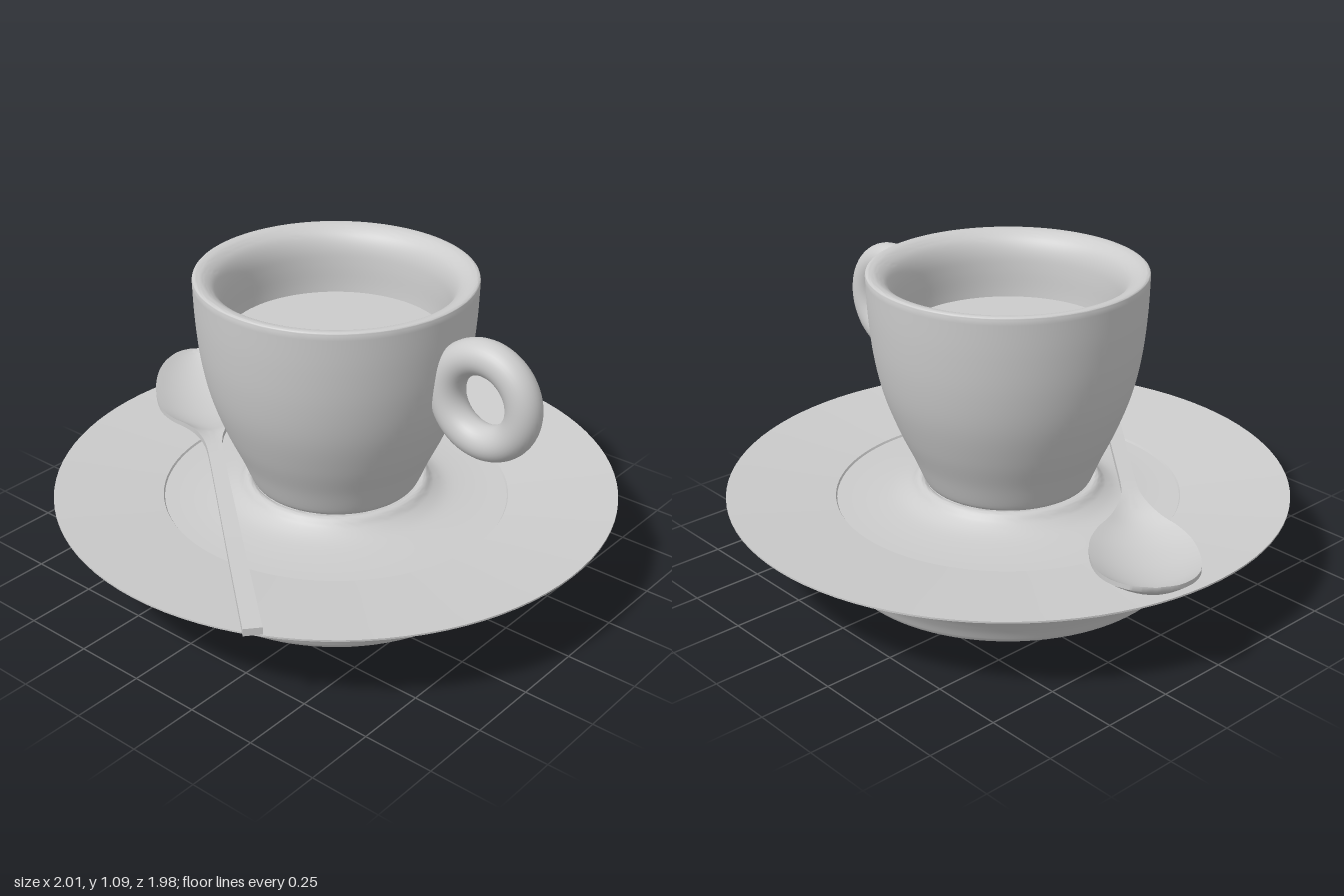
import * as THREE from 'three';
import { toCreasedNormals } from 'three/addons/utils/BufferGeometryUtils.js';

const material = new THREE.MeshStandardMaterial({ color: 0xcccccc });

function addMesh(parent, name, geometry) {
  const mesh = new THREE.Mesh(geometry, material);
  mesh.name = name;
  parent.add(mesh);
  return mesh;
}

// Smooth run of profile points through [radius, height] pairs
function smooth(pairs, divisions) {
  return new THREE.SplineCurve(pairs.map(([r, y]) => new THREE.Vector2(r, y))).getPoints(divisions);
}

// Revolve several smooth runs; edges between runs stay sharp
function revolve(runs, segments = 96) {
  const points = [];
  for (const run of runs) {
    for (const p of run) {
      p.x = Math.max(p.x, 0);
      if (!points.length || points[points.length - 1].distanceTo(p) > 1e-5) points.push(p);
    }
  }
  return toCreasedNormals(new THREE.LatheGeometry(points, segments), 0.6);
}

// Spoon: cross-sections lofted along x, from the handle end to the bowl tip
function spoonGeometry() {
  // along, half width, edge height, bowl depth, thickness
  const stations = [
    [-0.92, 0.031, 0.346, 0, 0.026], [-0.5, 0.029, 0.348, 0, 0.024],
    [-0.1, 0.027, 0.357, 0, 0.022], [0.15, 0.027, 0.365, 0, 0.022],
    [0.25, 0.034, 0.366, 0.002, 0.022], [0.33, 0.055, 0.364, 0.01, 0.02],
    [0.4, 0.088, 0.358, 0.025, 0.018], [0.47, 0.135, 0.353, 0.035, 0.016],
    [0.56, 0.168, 0.351, 0.042, 0.016], [0.68, 0.176, 0.357, 0.046, 0.016],
    [0.79, 0.162, 0.371, 0.045, 0.016], [0.87, 0.13, 0.385, 0.037, 0.016],
    [0.92, 0.088, 0.394, 0.022, 0.016], [0.94, 0.055, 0.398, 0.01, 0.016],
    [0.95, 0.015, 0.4, 0.002, 0.016],
  ];
  const shape = new THREE.CatmullRomCurve3(stations.map(s => new THREE.Vector3(s[0], s[1], s[2])), false, 'catmullrom', 0.5);
  const hollow = new THREE.CatmullRomCurve3(stations.map(s => new THREE.Vector3(s[0], s[3], s[4])), false, 'catmullrom', 0.5);
  const rows = 70, across = 12, ring = 2 * (across + 1);
  const positions = [], index = [];
  for (let i = 0; i <= rows; i++) {
    const a = shape.getPoint(i / rows), b = hollow.getPoint(i / rows);
    for (let j = 0; j < ring; j++) {
      const under = j > across;
      const v = 2 * (under ? ring - 1 - j : j) / across - 1;
      const y = a.z - Math.max(b.y, 0) * (1 - v * v) - (under ? b.z : 0);
      positions.push(a.x, y, v * a.y);
    }
  }
  for (let i = 0; i < rows; i++) {
    for (let j = 0; j < ring; j++) {
      const k = (j + 1) % ring;
      const a = i * ring + j, b = i * ring + k, c = a + ring, d = b + ring;
      index.push(a, b, c, b, d, c);
    }
  }
  // End caps
  const last = rows * ring;
  for (let j = 0; j < across; j++) {
    const m = ring - 1 - j;
    index.push(j, m, j + 1, j + 1, m, m - 1);
    index.push(last + j, last + j + 1, last + m, last + j + 1, last + m - 1, last + m);
  }
  const geometry = new THREE.BufferGeometry();
  geometry.setAttribute('position', new THREE.Float32BufferAttribute(positions, 3));
  geometry.setIndex(index);
  return toCreasedNormals(geometry, 0.8);
}

export function createModel() {
  const model = new THREE.Group();
  model.name = 'cupAndSaucer';

  // Saucer: flat base, flared underside, thin rim, sloped top, well and raised seat
  addMesh(model, 'saucer', revolve([
    smooth([[0, 0.006], [0.58, 0.006]], 1),
    smooth([[0.58, 0.002], [0.595, 0.002], [0.605, 0.014]], 6),
    smooth([[0.605, 0.014], [0.63, 0.062], [0.675, 0.122], [0.77, 0.19], [0.88, 0.25], [0.99, 0.307]], 24),
    smooth([[0.99, 0.307], [0.99, 0.313]], 1),
    smooth([[0.99, 0.313], [0.61, 0.274]], 4),
    smooth([[0.61, 0.274], [0.606, 0.267]], 1),
    smooth([[0.606, 0.267], [0.5, 0.269], [0.4, 0.28], [0.345, 0.305], [0.322, 0.328], [0.305, 0.334], [0.29, 0.325]], 24),
    smooth([[0.29, 0.325], [0, 0.325]], 1),
  ]));

  // Cup: tapered outside, rounded lip, hollow inside
  const cup = new THREE.Group();
  cup.name = 'cup';
  model.add(cup);
  addMesh(cup, 'cupBody', revolve([
    smooth([[0, 0.327], [0.28, 0.327]], 1),
    smooth([[0.28, 0.327], [0.297, 0.34], [0.335, 0.43], [0.385, 0.54], [0.433, 0.675],
      [0.461, 0.81], [0.475, 0.95], [0.48, 1.083]], 40),
    smooth([[0.48, 1.083], [0.477, 1.092], [0.465, 1.094], [0.44, 1.087], [0.41, 1.062],
      [0.391, 1.02], [0.383, 0.96], [0.377, 0.85], [0.355, 0.7], [0.26, 0.47], [0, 0.42]], 50),
  ]));

  // Drink surface
  const drink = addMesh(cup, 'drink', new THREE.CircleGeometry(0.379, 96));
  drink.rotation.x = -Math.PI / 2;
  drink.position.y = 0.86;

  // Ring handle sunk into the cup wall
  const handle = addMesh(cup, 'handle', new THREE.TorusGeometry(0.149, 0.061, 32, 72));
  handle.position.set(0.62, 0.823, 0);

  // Spoon resting across the saucer beside the cup
  const spoon = addMesh(model, 'spoon', spoonGeometry());
  spoon.rotation.y = Math.atan2(0.648, -0.762);
  spoon.position.set(-0.266, 0, 0.312);

  return model;
}
